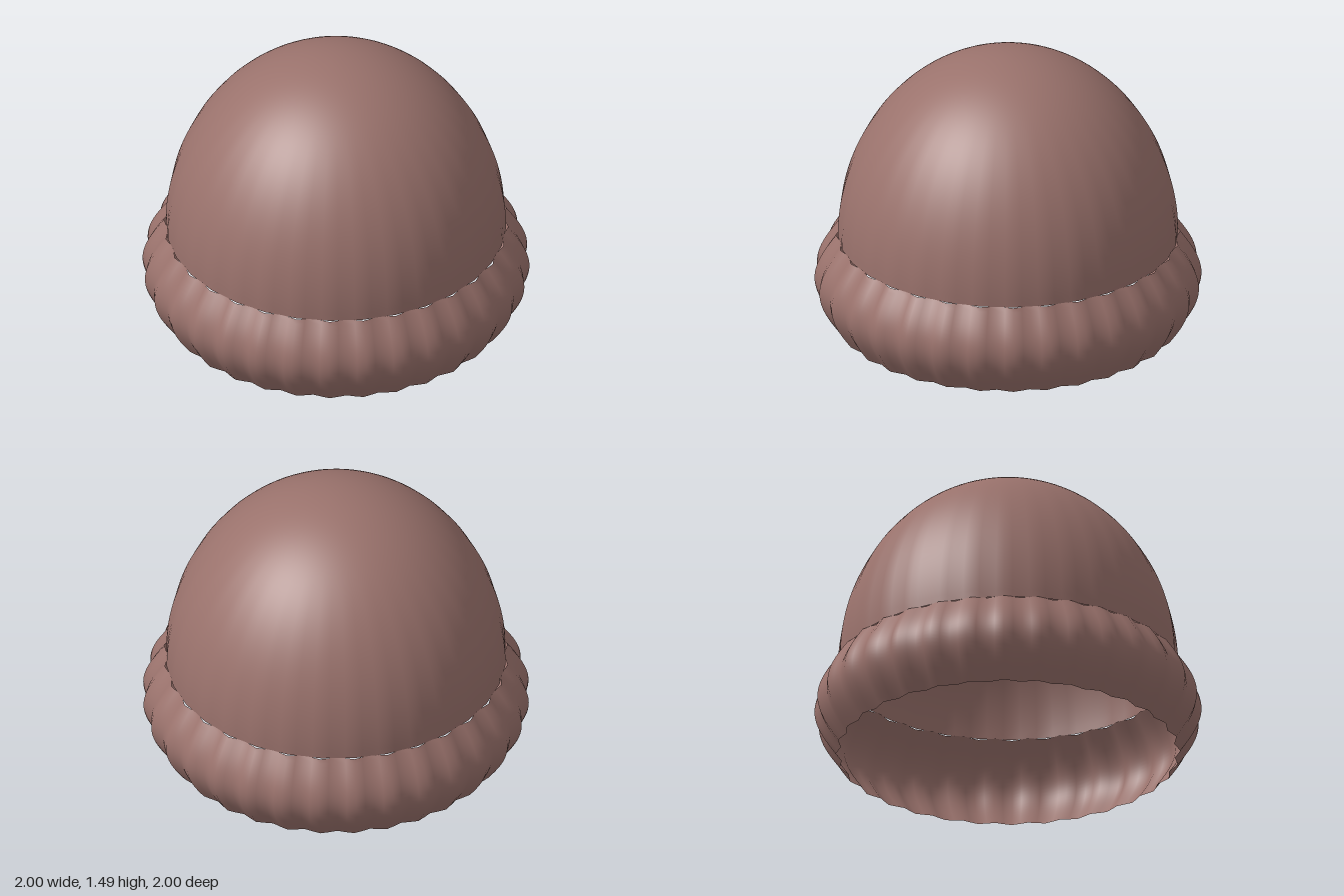
import * as THREE from 'three';
import { mergeVertices } from 'three/addons/utils/BufferGeometryUtils.js';

const RIBS = 32;
const SEGMENTS = RIBS * 4;
const CUFF_HEIGHT = 0.48;

const knit = new THREE.MeshStandardMaterial({ color: 0x9a726c, side: THREE.DoubleSide });

// Lathed shell from profile(t) = [radius, y], with ribs of depth(t) pressed inwards
function ribbedShell(name, profile, depth, rows) {
  const points = [];
  for (let i = 0; i <= rows; i++) points.push(new THREE.Vector2(...profile(i / rows)));
  let geometry = new THREE.LatheGeometry(points, SEGMENTS);
  const pos = geometry.attributes.position;
  for (let i = 0; i < pos.count; i++) {
    const x = pos.getX(i), z = pos.getZ(i);
    const t = (i % (rows + 1)) / rows;
    const scale = 1 - depth(t) * (0.5 - 0.5 * Math.cos(RIBS * Math.atan2(x, z)));
    pos.setX(i, x * scale);
    pos.setZ(i, z * scale);
  }
  // Weld the seam so the shading runs smoothly all the way round
  geometry.deleteAttribute('uv');
  geometry.deleteAttribute('normal');
  geometry = mergeVertices(geometry, 1e-5);
  geometry.computeVertexNormals();
  const mesh = new THREE.Mesh(geometry, knit);
  mesh.name = name;
  return mesh;
}

export function createModel() {
  const hat = new THREE.Group();
  hat.name = 'knittedHat';

  // Half-ellipsoid crown, open below, with faint ribs fading upwards
  hat.add(ribbedShell(
    'crown',
    (t) => {
      const a = t * Math.PI / 2;
      return [t === 1 ? 0 : 0.88 * Math.cos(a), CUFF_HEIGHT + 1.01 * Math.sin(a)];
    },
    (t) => 0.008 * Math.max(0, 1 - t * 1.5),
    40
  ));

  // Bulging ribbed cuff, open at top and bottom
  hat.add(ribbedShell(
    'cuff',
    (t) => [0.89 + 0.11 * Math.sin(Math.PI * t), CUFF_HEIGHT * t],
    () => 0.028,
    24
  ));

  return hat;
}
